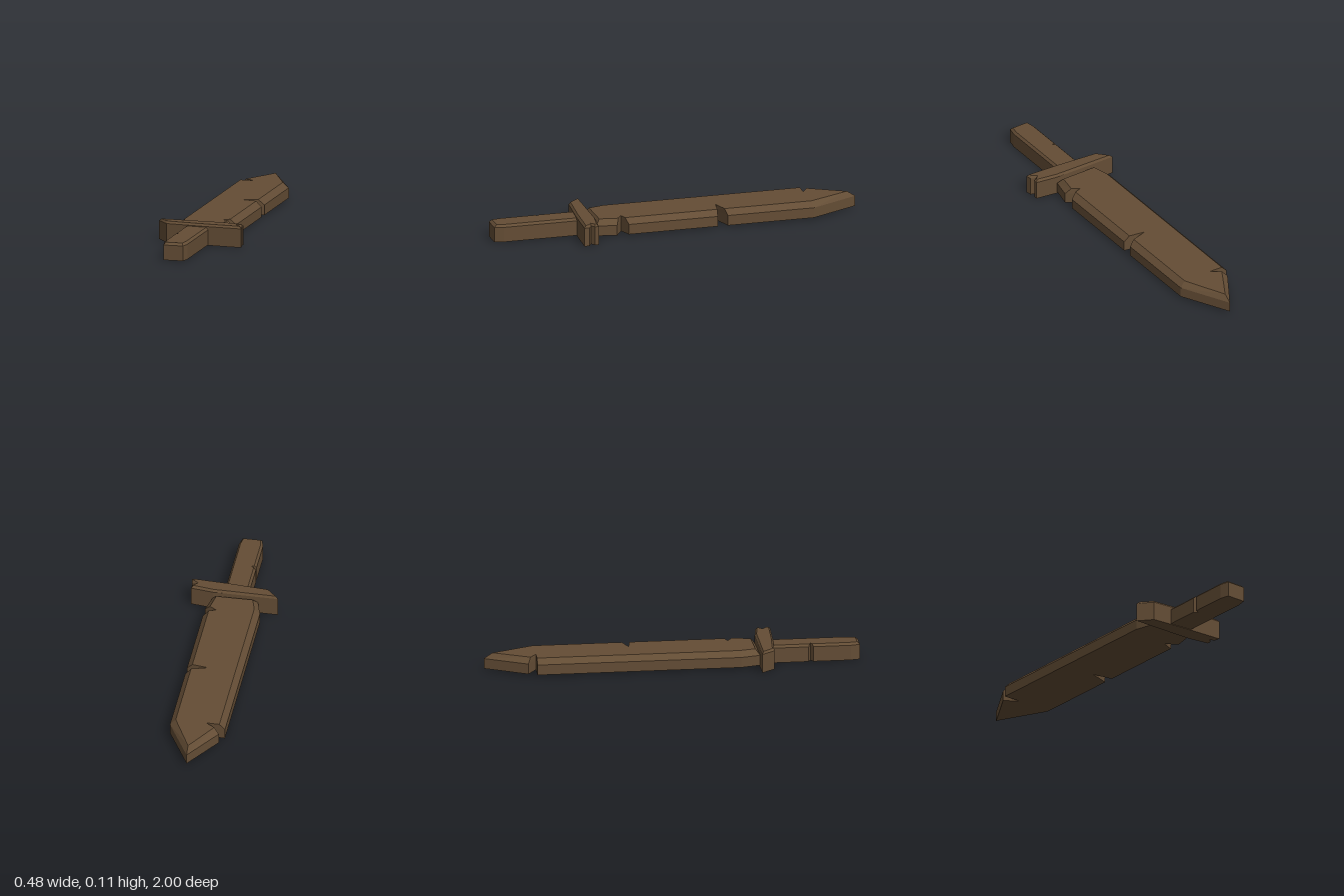
import * as THREE from 'three';

const wood = new THREE.MeshStandardMaterial({ color: 0x644d35 });
wood.name = 'darkWood';

// Bevelled slab: each point is [x, z, topX, topZ], listed clockwise seen from above.
function slab(name, points, y0, yWall, yTop) {
  const pts = points.slice().reverse();
  const low = pts.map(([x, z]) => new THREE.Vector3(x, y0, z));
  const wall = pts.map(([x, z]) => new THREE.Vector3(x, yWall, z));
  const top = pts.map(([x, z, tx, tz]) => new THREE.Vector3(tx, yTop, tz));
  const verts = [];
  const tri = (...v) => v.forEach((p) => verts.push(p.x, p.y, p.z));
  const cap = (ring, up) => {
    const flat = ring.map((p) => new THREE.Vector2(p.x, -p.z));
    for (const [a, b, c] of THREE.ShapeUtils.triangulateShape(flat, [])) {
      if (up) tri(ring[a], ring[b], ring[c]);
      else tri(ring[a], ring[c], ring[b]);
    }
  };
  const band = (a, b) => a.forEach((p, i) => {
    const j = (i + 1) % a.length;
    tri(p, a[j], b[j]);
    tri(p, b[j], b[i]);
  });
  cap(low, false);
  band(low, wall);
  band(wall, top);
  cap(top, true);
  const geo = new THREE.BufferGeometry();
  geo.setAttribute('position', new THREE.Float32BufferAttribute(verts, 3));
  geo.computeVertexNormals();
  const mesh = new THREE.Mesh(geo, wood);
  mesh.name = name;
  return mesh;
}

export function createModel() {
  const group = new THREE.Group();
  group.name = 'woodenSword';

  // Pointed blade with three chipped notches
  group.add(slab('blade', [
    [0, -1, 0, -0.955],
    [0.135, -0.735, 0.105, -0.728],
    [0.135, -0.26, 0.105, -0.25],
    [0.025, -0.225, 0.02, -0.225],
    [0.135, -0.205, 0.105, -0.21],
    [0.135, 0.285, 0.105, 0.297],
    [0.07, 0.31, 0.065, 0.31],
    [0.135, 0.35, 0.105, 0.335],
    [0.112, 0.458, 0.088, 0.435],
    [-0.132, 0.458, -0.108, 0.435],
    [-0.16, 0.355, -0.13, 0.35],
    [-0.16, -0.735, -0.13, -0.733],
    [-0.06, -0.73, -0.058, -0.73],
    [-0.135, -0.78, -0.108, -0.765],
  ], 0.01, 0.065, 0.095));

  // Crooked guard with a split end
  group.add(slab('guard', [
    [-0.24, 0.455, -0.225, 0.463],
    [0.11, 0.46, 0.108, 0.47],
    [0.23, 0.478, 0.22, 0.488],
    [0.23, 0.5, 0.22, 0.496],
    [0.208, 0.515, 0.198, 0.515],
    [0.235, 0.53, 0.225, 0.535],
    [0.24, 0.56, 0.227, 0.549],
    [0.03, 0.547, 0.03, 0.537],
    [-0.18, 0.527, -0.175, 0.517],
  ], 0, 0.101, 0.113));

  // Grip with a small nick and tapered end
  group.add(slab('handle', [
    [-0.074, 0.5, -0.062, 0.5],
    [0.055, 0.5, 0.044, 0.5],
    [0.055, 0.95, 0.044, 0.94],
    [0.044, 1, 0.036, 0.985],
    [-0.062, 1, -0.054, 0.985],
    [-0.074, 0.95, -0.062, 0.94],
    [-0.074, 0.75, -0.062, 0.744],
    [-0.05, 0.736, -0.048, 0.736],
    [-0.074, 0.724, -0.062, 0.73],
  ], 0.003, 0.084, 0.097));

  return group;
}
